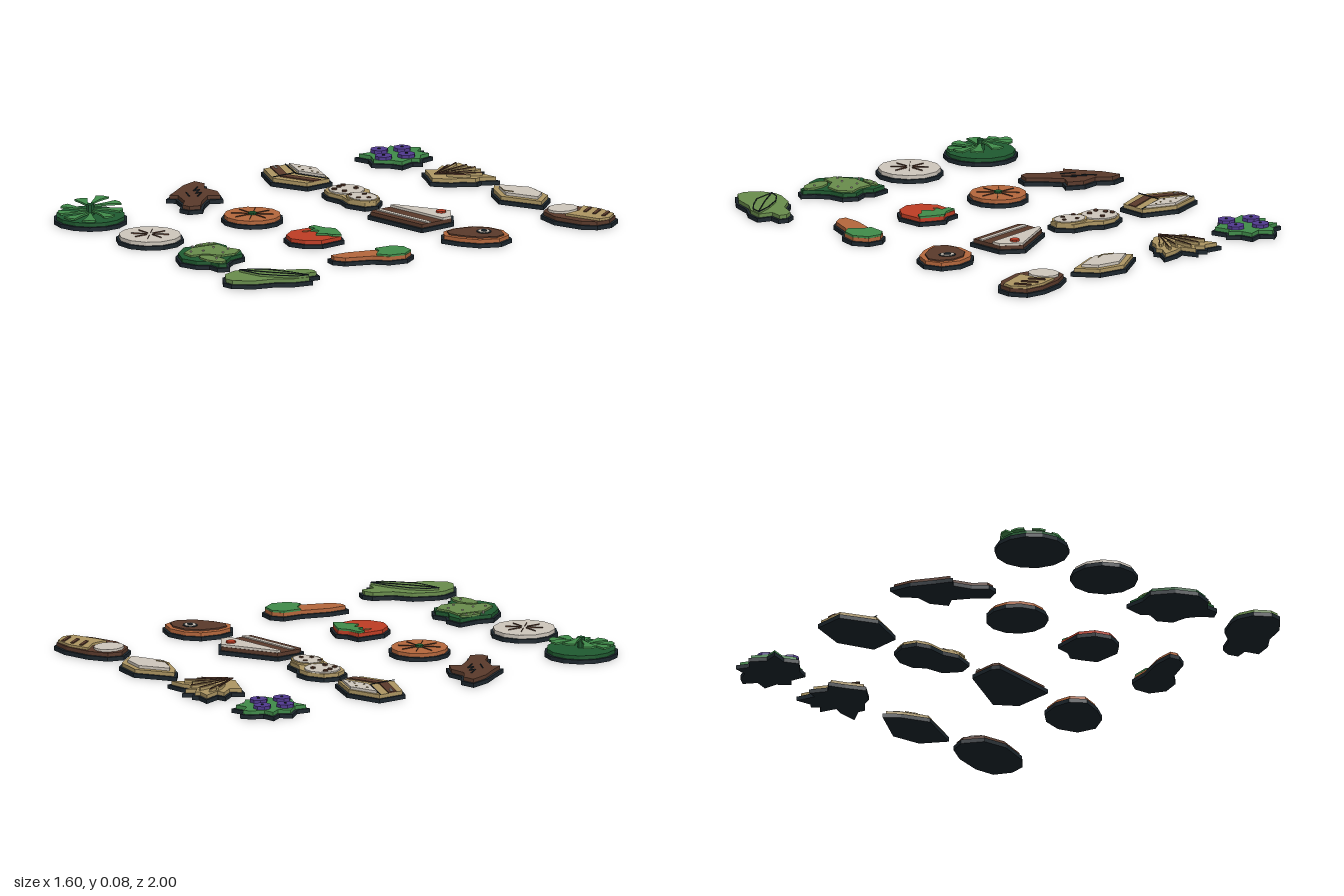
import * as THREE from 'three';

// All plan measurements are in hundredths of a unit; points are flat lists x, z, x, z ...
const paint = (name, hex) => {
  const m = new THREE.MeshStandardMaterial({ color: hex });
  m.name = name;
  return m;
};
const C = {
  ink: paint('ink', 0x1c262d), green: paint('leaf green', 0x408c4a), dark: paint('dark green', 0x1f5a30),
  purple: paint('berry purple', 0x513a90), tan: paint('crust tan', 0xae9763), cream: paint('cream', 0xcfc7bc),
  brown: paint('brown', 0x5a3a2b), orange: paint('orange', 0xb5673c), red: paint('red', 0xbf3d24),
  olive: paint('olive green', 0x698d4c),
};
const BASE = 0.018, BODY = 0.034, TOP = 0.042;

const pairs = (a) => Array.from({ length: a.length / 2 }, (_, i) => new THREE.Vector2(a[2 * i], a[2 * i + 1]));

// Regular or oval outline
function oval(cx, cz, rx, rz = rx, n = 10, turn = 0) {
  const out = [];
  for (let i = 0; i < n; i++) {
    const a = (i + 0.5) / n * Math.PI * 2;
    const x = rx * Math.cos(a), z = rz * Math.sin(a);
    out.push(cx + x * Math.cos(turn) - z * Math.sin(turn), cz + x * Math.sin(turn) + z * Math.cos(turn));
  }
  return out;
}

// Move each corner of an outline inward by d
function inset(flat, d) {
  const p = pairs(flat), n = p.length;
  const s = THREE.ShapeUtils.area(p) > 0 ? 1 : -1;
  return p.flatMap((q, i) => {
    const e1 = q.clone().sub(p[(i + n - 1) % n]).normalize();
    const e2 = p[(i + 1) % n].clone().sub(q).normalize();
    const m = new THREE.Vector2(-e1.y - e2.y, e1.x + e2.x).normalize();
    const k = s * d / Math.max(0.6, m.x * -e1.y + m.y * e1.x);
    return [q.x + m.x * k, q.y + m.y * k];
  });
}

// Flat slab with the given outline between two heights
function slab(group, name, mat, flat, y0, y1) {
  const shape = new THREE.Shape(pairs(flat).map((v) => new THREE.Vector2(v.x / 100, -v.y / 100)));
  const geo = new THREE.ExtrudeGeometry(shape, { depth: y1 - y0, bevelEnabled: false });
  geo.rotateX(-Math.PI / 2);
  const mesh = new THREE.Mesh(geo, mat);
  mesh.name = name;
  mesh.position.y = y0;
  group.add(mesh);
}

// Thin raised line through the listed points
function line(group, name, mat, flat, y, w = 0.5, h = 0.003) {
  const p = pairs(flat);
  for (let i = 1; i < p.length; i++) {
    const d = p[i].clone().sub(p[i - 1]);
    const mesh = new THREE.Mesh(new THREE.BoxGeometry(d.length() / 100, h, w / 100), mat);
    mesh.position.set((p[i].x + p[i - 1].x) / 200, y + h / 2, (p[i].y + p[i - 1].y) / 200);
    mesh.rotation.y = -Math.atan2(d.y, d.x);
    mesh.name = name;
    group.add(mesh);
  }
}

// Food piece: dark backing slab, coloured body, and helpers for its details
function piece(root, name, cx, cz, mat, outline) {
  const g = new THREE.Group();
  g.name = name;
  g.position.set(cx / 100, 0, cz / 100);
  root.add(g);
  slab(g, 'backing', C.ink, outline, 0, BASE);
  slab(g, 'body', mat, inset(outline, 1.1), BASE, BODY);
  return {
    plate: (n, m, pts, top = TOP, from = BODY) => slab(g, n, m, pts, from, top),
    dots: (n, m, pts, r, from, top) => pairs(pts).forEach((p) => slab(g, n, m, oval(p.x, p.y, r, r, 8), from, top)),
    line: (n, m, pts, y = BODY, w, h) => line(g, n, m, pts, y, w, h),
  };
}

export function createModel() {
  const root = new THREE.Group();
  root.name = 'foodPieces';
  let f;

  // Back row
  f = piece(root, 'berryBush', -62, -84, C.green, [-2, -16, 2, -11, 8, -13, 9, -7, 14, -3, 11, 0, 13, 7, 8, 9, 2, 15,
    -4, 12, -11, 14, -10, 8, -15, 2, -11, -2, -14, -7, -8, -8, -6, -13]);
  const berries = [-3.5, -5.5, 6, -0.5, -7, 4, 2.5, 9];
  f.dots('berry', C.purple, berries, 3.8, BODY, 0.048);
  f.dots('berryCrown', C.ink, berries, 0.6, 0.048, 0.052);

  f = piece(root, 'grainSheaf', -21, -84, C.tan, [0, -15, 3, -8, 7.5, -10, 16, -11, 12, -4, 13, -1, 8.5, 4, 7, 8, 0, 14,
    -8, 10, -15, 7, -11.5, 2.5, -16, -4, -12, -5, -15, -13, -8, -12, -6, -14, -3, -11]);
  for (const [x, z] of [[-12, -9], [-6, -11], [0, -12], [5, -6], [11, -8], [-11, -3], [9, 1]]) {
    f.plate('ear', C.tan, oval(x * 0.6 - 0.4, z * 0.6 + 2, 5.5, 1.1, 8, Math.atan2(z - 10, x + 1)), 0.046);
    f.line('stalk', C.brown, [-1, 11, x * 0.85, z * 0.85], 0.046, 0.35, 0.004);
  }

  const flat = [-19, -1, -3, -12, 10, -10, 18, 0, -1, 9, -13, 4];
  f = piece(root, 'flatPastry', 21, -84, C.tan, flat);
  f.plate('icing', C.cream, inset(flat, 3.4), 0.046);
  f.line('crease', C.tan, [-9, 2, -4, 4, 0, 2], 0.046, 0.4);

  f = piece(root, 'breadLoaf', 62, -84, C.brown, [-18, 2, -16, -5, -8, -10, 4, -13, 13, -12, 17.5, -5, 17, 2, 12, 7,
    -1, 11.5, -12, 10]);
  f.plate('crust', C.tan, [-6, -8, 3, -11, 12, -10.5, 16, -5, 15.5, 0, 9, 2.5, 0, 6, -1, -2], 0.044);
  f.plate('cutFace', C.cream, oval(-8.5, 1, 6, 6.8, 12, -0.2), 0.044);
  for (let i = 0; i < 3; i++) f.line('slash', C.brown, [-1 + i * 5, -8 - i, 3 + i * 5, -2 - i], 0.044, 1.4, 0.005);

  // Second row
  f = piece(root, 'layerCake', -62, -30, C.tan, [0, -13, 16, -7.5, 16, 6, 0, 13, -16, 6, -16, -7.5]);
  f.plate('icing', C.cream, [0, -11, 12.5, -6.3, 0, -1.8, -12.5, -6.3], 0.045);
  f.plate('filling', C.brown, [-15, -2.2, 0, 4, 15, -2.2, 15, 2, 0, 8, -15, 2], 0.039);
  f.line('edge', C.ink, [-15, -6.3, 0, -0.4, 15, -6.3], BODY, 0.5);
  f.line('corner', C.ink, [0, -0.4, 0, 12], 0.039, 0.4);
  f.dots('crumb', C.tan, [-5, -6, 0, -8, 4, -6, 0, -4, 7, -6.5], 0.5, 0.045, 0.047);
  f.dots('cream', C.cream, [-13.5, 0.5, -11.5, 1.4], 0.7, 0.039, 0.042);

  f = piece(root, 'cookies', -21, -30, C.tan, [-17, 1, -15, -6, -8, -10, -1, -10, 4, -6.5, 12, -5.5, 17.5, 1, 16, 7,
    7, 10, 0, 8, -8, 9, -14, 7]);
  f.plate('rearCookie', C.cream, oval(-6.7, -0.8, 7.8, 7.6, 12), 0.04);
  f.plate('frontRim', C.tan, oval(8, 2, 8.2, 6.5, 12, 0.1), 0.042);
  f.plate('frontCookie', C.cream, oval(8, 2, 7.4, 5.7, 12, 0.1), 0.044);
  f.dots('chip', C.brown, [-11, 0, -5, -4.5, -9, 4, -12, -3, -4, 2.5], 1.1, 0.04, 0.046);
  f.dots('chip', C.brown, [3, 5, 6, -0.5, 11.5, 1.5, 9, 5], 1, 0.044, 0.047);

  f = piece(root, 'cakeSlice', 21, -30, C.brown, [-17, -1, 7, -14.5, 16, -8, 16.5, 9.5, -15, 14, -17, 11]);
  f.plate('icing', C.cream, [-15.5, -0.2, 7, -13, 15, -7.3, 15, -2.8, -15.5, 1.6], 0.044);
  f.plate('filling', C.cream, [-14.5, 7.5, 15, 3.5, 15, 5.5, -14.5, 9.7], 0.039);
  f.dots('cherry', C.red, [7, -8], 2.2, 0.044, 0.051);

  f = piece(root, 'steak', 62, -30, C.orange, [-13.5, 2, -11.5, -7, -6, -12, 2.5, -14, 11, -11, 14, -3, 10, 5.5,
    2.5, 10.5, -6, 13.5, -12, 9]);
  f.plate('meat', C.brown, [-10, 3, -8, -5, -3, -9.5, 4, -10.5, 9.5, -8, 11, -3, 7, 3.5, 1, 7.5, -5, 10, -9, 8], 0.04);
  f.plate('boneOutline', C.ink, oval(1, -3.8, 3.8, 3.2, 10, 0.4), 0.042);
  f.plate('bone', C.cream, oval(1, -3.8, 3.1, 2.5, 10, 0.4), 0.044);
  f.plate('marrow', C.ink, oval(1, -3.8, 1.6, 1.3, 8, 0.4), 0.046);

  // Third row
  f = piece(root, 'driedMeat', -62, 24, C.brown, [-18, -14, -11, -15.5, -5, -11, 2.5, -12, 10, -8, 7, -3, 12, 3.5, 18, 9,
    16, 15, 11, 16, 6, 11, -2, 8, -5, 11, -9, 4.5, -15, -4.5]);
  f.line('grain', C.ink, [-8, -8, -4, -3, -4, -6, 0, -1, 0, -4, 4, 1]);
  f.line('grain', C.ink, [-4, 1, 2, 4]);

  f = piece(root, 'pumpkin', -21, 24.5, C.orange, oval(0, 0, 13.2, 13.2, 13));
  f.dots('stem', C.dark, [0, 0], 1.9, BODY, 0.042);
  f = { pumpkin: f };
  f.turnip = piece(root, 'turnipSlice', -21, 79, C.cream, oval(0, 0, 14.4, 14.4, 12));
  for (let i = 0; i < 8; i++) {
    const c = Math.cos(i * Math.PI / 4), s = Math.sin(i * Math.PI / 4);
    f.pumpkin.line('rib', C.brown, [2 * c, 2 * s, 9 * c, 9 * s], BODY, 0.15, 0.004);
    f.turnip.line('ray', C.brown, [1.5 * c, 1.5 * s, 8 * c, 8 * s], BODY, 0.1, 0.005);
  }

  f = piece(root, 'tomato', 21, 24.5, C.red, [-11, -3, -10.5, -9, -4, -10, 0, -13, 5, -11, 11, -8, 11.5, 4, 7, 10, 0, 13,
    -7, 10.5, -11.5, 4]);
  f.plate('leaves', C.green, [-9.5, -7.7, -4, -8.8, 0, -11.7, 5, -9.8, 10, -7.3, 8, -4, 5.5, -3.5, 2, 0.2, -1, -4,
    -4.5, -2, -5, -5, -9, -4.5]);
  f.plate('highlight', C.orange, oval(-5.8, -0.6, 1.1, 1.9, 8), 0.036);

  f = piece(root, 'carrot', 62, 24.5, C.orange, [-10.5, 16, -10, 7, -6, -5, -5, -14, 0, -17.5, 7, -16.5, 11, -10, 9, -2,
    3.5, 3, -1, 14, -6, 17]);
  f.plate('leaves', C.green, [-4, -13, 0, -16.3, 6.3, -15.4, 9.8, -9.5, 8, -2.8, 3, 0.5, -1, -4, -5, -5]);

  // Front row
  f = piece(root, 'melon', -62, 79, C.dark, oval(0, 0, 15.8, 15.8, 14));
  f.dots('stem', C.dark, [0, 0], 1.7, BODY, 0.08);
  const heights = [0.044, 0.046, 0.05, 0.056, 0.07, 0.082, 0.074, 0.064, 0.056];
  heights.forEach((h, i) => {
    const at = (r, da) => [r * Math.cos((i + 1) * 0.698 + da), r * Math.sin((i + 1) * 0.698 + da)];
    f.plate('stripe', C.green, [at(1.5, -0.3), at(8, -0.2), at(13.5, -0.22), at(14, 0), at(13.5, 0.22), at(8, 0.14),
      at(1.5, 0.3)].flat(), h, h - 0.008);
  });

  f = piece(root, 'leafyHead', 21, 79, C.dark, [-16, -14.5, -7.5, -15.5, -4, -13, 2, -15.5, 8, -12, 9, -5, 12.5, 0,
    17.5, 3.5, 15, 8, 9.5, 8, 6, 12.5, -2, 15, -11, 10.5, -17.5, 2, -15.5, -5]);
  f.plate('mainLobe', C.olive, [-9.5, -11, -3, -10.8, 3, -13, 7, -7.5, 6, -1, 0, 3, -1.5, 9.5, -7, 9, -11.5, 1]);
  f.plate('sideLobe', C.olive, oval(7.5, 5, 7.2, 3.5, 10, -0.15));
  f.plate('rearLobe', C.olive, oval(-12.8, -7, 1.7, 5, 8, 0.15));
  f.dots('speck', C.cream, [-6, -6, 0, -9, 3, -4, -4, 1, -6, 6, 9, 4], 0.45, TOP, 0.047);
  f.dots('speck', C.cream, [-12.8, -9, -13, -5, -12.8, 0], 0.5, BODY, 0.045);

  f = piece(root, 'lettuceLeaf', 62, 79, C.olive, [-14.5, 4.5, -10, -5, -3, -10, 1, -18, 5.5, -20, 10, -18.5, 9, -13,
    15, -11, 13, -3, 8.5, 3, 5.5, 12.5, -1, 20, -6, 20.5, -12.5, 16, -15, 9]);
  const fold = [-11, 8, -9, 3, -4, -2, 5, -7, 13.3, -10, 12, -5, 7, 0, 0, 5.5];
  f.plate('fold', C.olive, fold, 0.043);
  f.line('foldEdge', C.ink, [...fold, -11, 8], 0.042, 0.5);
  f.line('vein', C.ink, [-11, 8, 0, 0.5, 13, -9.5], 0.043, 0.4);

  return root;
}
